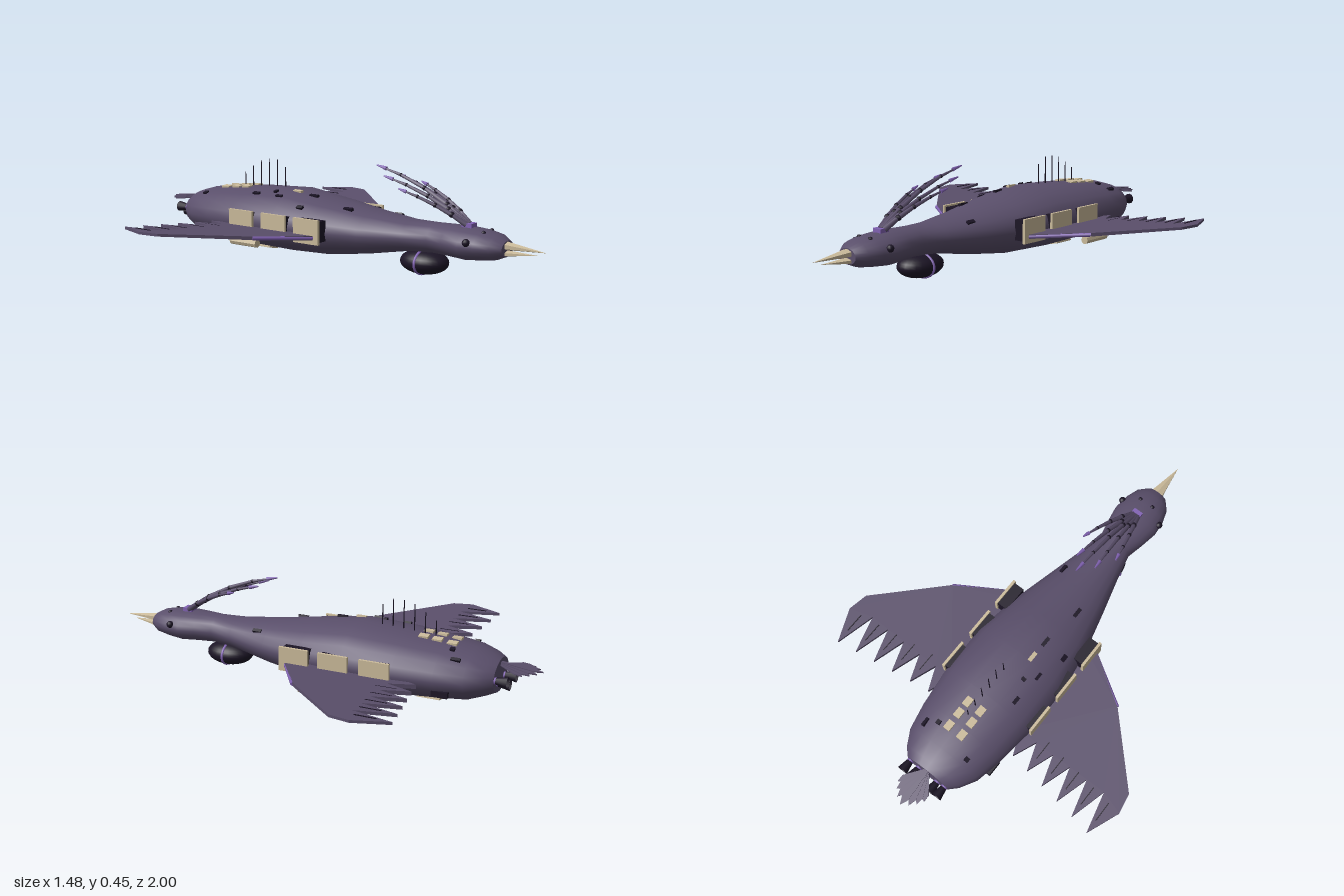
import * as THREE from 'three';

const mat = (color, extra = {}) => new THREE.MeshStandardMaterial({ color, ...extra });
const HULL = mat(0x5a4f6b), HULL_FLAT = mat(0x5a4f6b, { flatShading: true, side: THREE.DoubleSide });
const DARK = mat(0x1c1526), PURPLE = mat(0x8263b4), BEIGE = mat(0xcbbb9b);
const BEIGE_FLAT = mat(0xcbbb9b, { flatShading: true });

// Hull stations: z, half width, bottom, top
const STATIONS = [
  [0.83, 0.05, 0.135, 0.2], [0.79, 0.085, 0.118, 0.222], [0.73, 0.105, 0.11, 0.233],
  [0.66, 0.112, 0.103, 0.238], [0.58, 0.098, 0.108, 0.238], [0.5, 0.08, 0.11, 0.237],
  [0.39, 0.105, 0.105, 0.237], [0.2, 0.155, 0.07, 0.258], [0.0, 0.205, 0.042, 0.288],
  [-0.2, 0.232, 0.036, 0.315], [-0.43, 0.23, 0.04, 0.305], [-0.6, 0.21, 0.05, 0.29],
  [-0.72, 0.185, 0.06, 0.275], [-0.79, 0.145, 0.085, 0.255], [-0.825, 0.11, 0.1, 0.24],
];
const SIDES = 20;

function hullAt(z) {
  const i = Math.max(1, STATIONS.findIndex((s) => s[0] <= z));
  const [a, b] = [STATIONS[i - 1], STATIONS[i]];
  const t = (a[0] - z) / (a[0] - b[0]);
  return a.map((v, k) => v + (b[k] - v) * t);
}

function hullGeometry() {
  const pos = [], index = [], n = STATIONS.length;
  for (const [z, w, lo, hi] of STATIONS)
    for (let j = 0; j < SIDES; j++) {
      const a = (j / SIDES) * Math.PI * 2;
      pos.push(w * Math.cos(a), (lo + hi) / 2 + ((hi - lo) / 2) * Math.sin(a), z);
    }
  for (let i = 0; i < n - 1; i++)
    for (let j = 0; j < SIDES; j++) {
      const a = i * SIDES + j, b = i * SIDES + ((j + 1) % SIDES);
      index.push(a, a + SIDES, b, b, a + SIDES, b + SIDES);
    }
  // End caps with their own vertices
  [0, n - 1].forEach((row) => {
    const base = pos.length / 3;
    pos.push(...pos.slice(row * SIDES * 3, (row + 1) * SIDES * 3));
    for (let j = 1; j < SIDES - 1; j++)
      index.push(base, ...(row === 0 ? [base + j, base + j + 1] : [base + j + 1, base + j]));
  });
  const g = new THREE.BufferGeometry();
  g.setAttribute('position', new THREE.Float32BufferAttribute(pos, 3));
  g.setIndex(index);
  g.computeVertexNormals();
  return g;
}

function add(parent, name, geometry, material, x = 0, y = 0, z = 0) {
  const m = new THREE.Mesh(geometry, material);
  m.name = name;
  m.position.set(x, y, z);
  parent.add(m);
  return m;
}

const box = (w, h, d) => new THREE.BoxGeometry(w, h, d);

// Box lying on the hull skin at (x, z), on the upper or lower side
function plate(parent, name, material, x, z, w, h, d, side = 1) {
  const [, hw, lo, hi] = hullAt(z);
  const ry = (hi - lo) / 2, s = Math.sqrt(1 - (x / hw) ** 2);
  const m = add(parent, name, box(w, h, d), material, x, (lo + hi) / 2 + side * ry * s, z);
  m.rotation.z = -side * Math.atan2((ry * x) / hw, hw * s);
  return m;
}

// Tapered rod between two points
function rod(parent, name, material, a, b, r0, r1, sides = 6) {
  const d = b.clone().sub(a);
  const m = add(parent, name, new THREE.CylinderGeometry(r1, r0, d.length(), sides), material);
  m.position.copy(a).addScaledVector(d, 0.5);
  m.quaternion.setFromUnitVectors(new THREE.Vector3(0, 1, 0), d.normalize());
  return m;
}

const wingY = (x) => 0.15 + (x - 0.2) * 0.082;

function buildWing() {
  const wing = new THREE.Group();
  const outline = [[0.15, 0.05], [0.235, 0.05], [0.46, -0.1], [0.725, -0.38], [0.742, -0.47]];
  const teeth = [];
  for (let i = 0; i < 6; i++) {
    const x = 0.682 - i * 0.0895, z = -0.618 + i * 0.015;
    teeth.push([x, z]);
    outline.push([x, z], [x - 0.044, -0.437]);
  }
  outline.push([0.15, -0.43]);
  const shape = new THREE.Shape(outline.map(([x, z]) => new THREE.Vector2(x, -z)));
  const g = new THREE.ExtrudeGeometry(shape, { depth: 1, bevelEnabled: false });
  g.rotateX(-Math.PI / 2);
  // Slope the slab upward and thin it toward the tip
  const p = g.attributes.position;
  for (let i = 0; i < p.count; i++) {
    const x = p.getX(i), thick = 0.022 - 0.015 * x;
    p.setY(i, wingY(x) + (p.getY(i) - 0.5) * thick);
  }
  g.computeVertexNormals();
  add(wing, 'wingBlade', g, HULL_FLAT);
  for (const [x, z] of teeth)
    add(wing, 'featherRidge', box(0.004, 0.018, 0.09), DARK, x, wingY(x), z + 0.11);
  // Purple leading edge and underwing pod
  const at = (x, z) => new THREE.Vector3(x, wingY(x), z);
  rod(wing, 'leadingEdge', PURPLE, at(0.225, 0.05), at(0.46, -0.1), 0.009, 0.008);
  const pod = add(wing, 'wingPod', new THREE.CylinderGeometry(0.017, 0.017, 0.14, 8), BEIGE_FLAT, 0.418, 0.14, -0.18);
  pod.rotation.x = Math.PI / 2;
  add(wing, 'podStrut', box(0.008, 0.03, 0.06), DARK, 0.418, 0.158, -0.18);
  return wing;
}

// Side windows, eyes, engines and hatches of one side
function buildSide() {
  const side = new THREE.Group();
  for (const z of [0.005, -0.175, -0.36]) {
    add(side, 'sideWindow', box(0.012, 0.106, 0.134), BEIGE, 0.238, 0.178, z);
    add(side, 'windowFrame', box(0.05, 0.09, 0.12), DARK, 0.208, 0.178, z);
  }
  add(side, 'eye', new THREE.SphereGeometry(0.016, 12, 8), DARK, 0.103, 0.192, 0.7);
  add(side, 'browStud', new THREE.SphereGeometry(0.01, 8, 6), DARK, 0.033, 0.225, 0.74);
  add(side, 'sideHatch', box(0.02, 0.025, 0.07), DARK, 0.193, 0.12, -0.63);
  for (const [x, y] of [[0.05, 0.15], [0.092, 0.175]]) {
    const nozzle = add(side, 'engineNozzle', new THREE.CylinderGeometry(0.014, 0.024, 0.05, 10, 1, true),
      mat(0x1c1526, { side: THREE.DoubleSide }), x, y, -0.855);
    nozzle.rotation.x = Math.PI / 2;
    const core = add(side, 'engineCore', new THREE.CylinderGeometry(0.015, 0.012, 0.03, 10), PURPLE, x, y, -0.84);
    core.rotation.x = Math.PI / 2;
  }
  for (const z of [-0.36, -0.55]) plate(side, 'bellyPanel', BEIGE, 0.075, z, 0.06, 0.014, 0.1, -1);
  for (const z of [-0.5, -0.56, -0.625]) plate(side, 'roofPanel', BEIGE, 0.034, z, 0.032, 0.012, 0.042);
  return side;
}

// Fan of jointed fingers sweeping back from the head
function buildCrest() {
  const crest = new THREE.Group();
  add(crest, 'crestBase', box(0.045, 0.025, 0.045), PURPLE, 0, 0.24, 0.655);
  const tips = [[0, 0.45, 0.2], [0.048, 0.415, 0.27], [-0.048, 0.415, 0.27], [0.088, 0.385, 0.37], [-0.088, 0.375, 0.37]];
  for (const [x, y, z] of tips) {
    const curve = new THREE.QuadraticBezierCurve3(
      new THREE.Vector3(x * 0.15, 0.245, 0.65),
      new THREE.Vector3(x * 0.6, y - 0.05, (z + 0.65) / 2 + 0.03),
      new THREE.Vector3(x, y, z));
    const pts = curve.getPoints(4);
    for (let i = 0; i < 4; i++) {
      const r = 0.013 - i * 0.002;
      rod(crest, 'crestSegment', HULL, pts[i], pts[i + 1], r, i === 3 ? 0.002 : r * 0.75);
      if (i > 0) add(crest, 'crestJoint', new THREE.SphereGeometry(r * 1.15, 8, 6), DARK, ...pts[i].toArray());
    }
    rod(crest, 'crestTip', PURPLE, curve.getPoint(0.9), pts[4], 0.009, 0.003);
  }
  return crest;
}

function buildTail() {
  const tail = new THREE.Group();
  const shape = new THREE.Shape([[-0.008, 0], [0.008, 0], [0.017, 0.8], [0, 1], [-0.017, 0.8]]
    .map(([x, y]) => new THREE.Vector2(x, y)));
  for (let i = -3; i <= 3; i++) {
    const g = new THREE.ExtrudeGeometry(shape, { depth: 0.005, bevelEnabled: false });
    g.scale(1, 0.18 - Math.abs(i) * 0.016, 1);
    g.rotateX(-Math.PI / 2);
    const f = add(tail, 'tailFeather', g, HULL_FLAT, 0, -Math.abs(i) * 0.003, 0);
    f.rotation.y = i * 0.19;
  }
  tail.position.set(0, 0.222, -0.82);
  tail.rotation.x = -0.1;
  return tail;
}

export function createModel() {
  const model = new THREE.Group();
  model.name = 'birdShip';
  add(model, 'hull', hullGeometry(), HULL);

  // Mirrored halves
  for (const s of [1, -1]) {
    for (const [name, part] of [['wing', buildWing()], ['sideFittings', buildSide()]]) {
      part.name = (s > 0 ? 'left ' : 'right ') + name;
      part.scale.x = s;
      model.add(part);
    }
  }

  // Beak: two flattened pyramids
  for (const [name, y, h, len, tilt] of [['upperBeak', 0.176, 0.55, 0.2, 0.05], ['lowerBeak', 0.152, 0.4, 0.16, -0.06]]) {
    const g = new THREE.ConeGeometry(0.037, len, 6);
    g.rotateX(Math.PI / 2);
    g.scale(1, h, 1);
    add(model, name, g, BEIGE_FLAT, 0, y, 0.8 + len / 2).rotation.x = tilt;
  }

  // Belly pod with a purple strap
  add(model, 'bellyPod', new THREE.SphereGeometry(1, 24, 16), DARK, 0, 0.065, 0.445).scale.set(0.082, 0.052, 0.11);
  add(model, 'podStrap', new THREE.TorusGeometry(1, 0.06, 6, 24), PURPLE, 0, 0.065, 0.445).scale.set(0.082, 0.054, 0.1);

  // Roof antennas
  [0.4, 0.43, 0.43, 0.42, 0.39, 0.36].forEach((top, i) => {
    const z = -0.3 - i * 0.048;
    rod(model, 'antenna', DARK, new THREE.Vector3(0, 0.29, z), new THREE.Vector3(0, top, z), 0.003, 0.002, 5);
  });

  // Scattered hull fittings: x, z, width, length
  const fittings = [[-0.11, -0.69, 0.02, 0.02], [0.08, -0.64, 0.02, 0.02], [0.13, -0.67, 0.015, 0.04],
    [-0.12, -0.37, 0.015, 0.035], [-0.09, -0.28, 0.02, 0.015], [-0.13, -0.23, 0.012, 0.035],
    [-0.16, -0.09, 0.018, 0.03], [-0.06, -0.09, 0.016, 0.045], [-0.08, 0.11, 0.016, 0.045], [0.1, 0.25, 0.016, 0.04]];
  for (const [x, z, w, d] of fittings) plate(model, 'hullFitting', DARK, x, z, w, 0.014, d);
  plate(model, 'roofHatch', BEIGE, -0.06, -0.18, 0.018, 0.012, 0.045);

  const crest = buildCrest(), tail = buildTail();
  crest.name = 'crest';
  tail.name = 'tailFan';
  model.add(crest, tail);
  return model;
}
